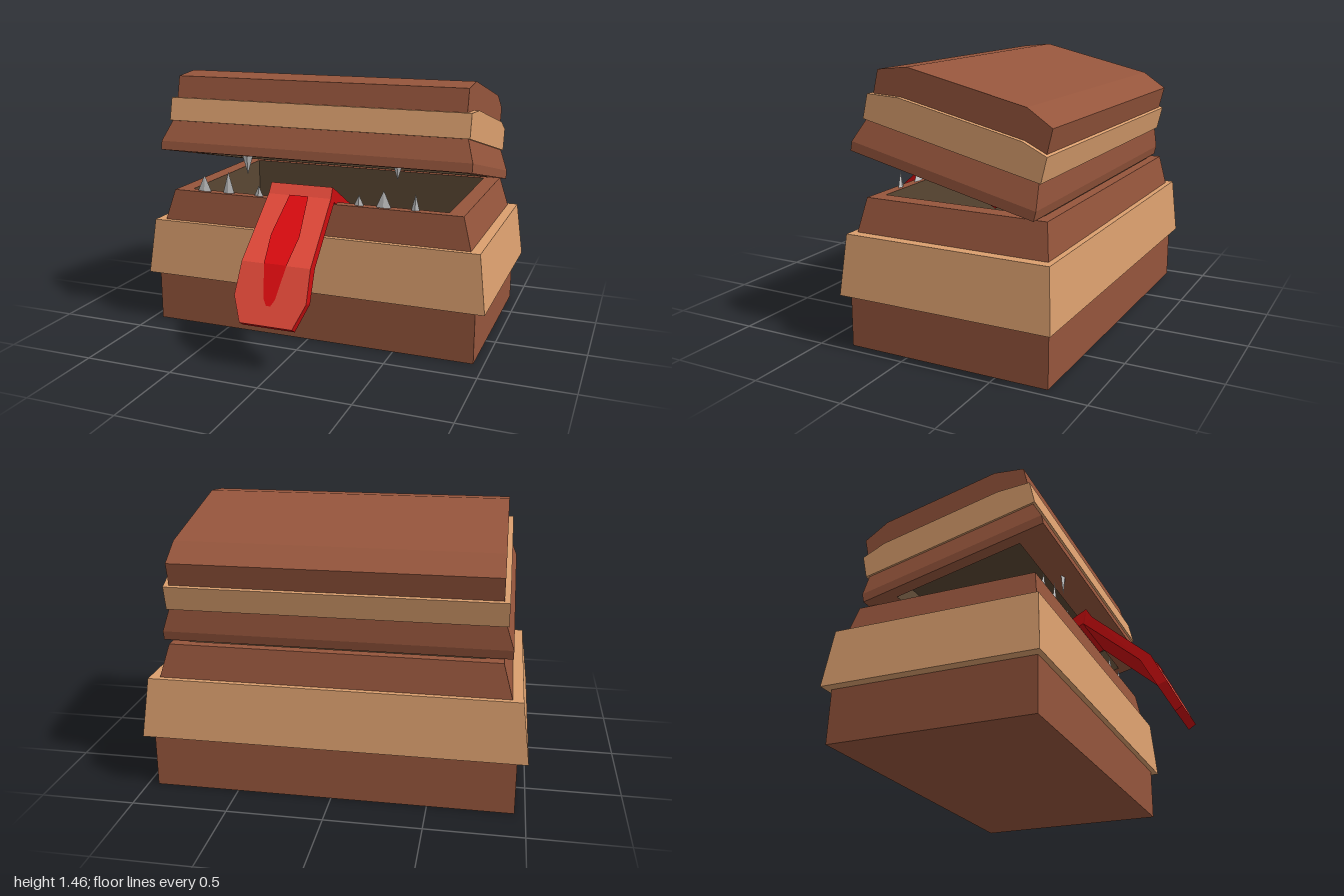
import * as THREE from 'three';

const mat = (color, side = THREE.FrontSide) =>
  new THREE.MeshStandardMaterial({ color, flatShading: true, side });
const brown = mat(0x95553c), tan = mat(0xdb9f6e), dark = mat(0x594733);
const grey = mat(0xcccccc), red = mat(0xcc0d0f), lightRed = mat(0xe54a3a), stripeRed = mat(0xe00c10, THREE.DoubleSide);

function add(parent, name, geometry, material) {
  const mesh = new THREE.Mesh(geometry, material);
  mesh.name = name;
  parent.add(mesh);
  return mesh;
}

// Flat quads between successive rows of points, plus optional single quads
function grid(rows, caps = []) {
  const pos = [];
  const quad = (a, b, c, d) => pos.push(...a, ...b, ...c, ...a, ...c, ...d);
  for (let i = 0; i < rows.length - 1; i++)
    for (let j = 0; j < rows[i].length - 1; j++)
      quad(rows[i][j], rows[i][j + 1], rows[i + 1][j + 1], rows[i + 1][j]);
  caps.forEach((c) => quad(...c));
  const g = new THREE.BufferGeometry();
  g.setAttribute('position', new THREE.Float32BufferAttribute(pos, 3));
  g.computeVertexNormals();
  return g;
}

// Rectangular loft; each level is [y, half width, front z, back z]
function loft(levels, { start = false, end = false } = {}) {
  const rows = levels.map(([y, w, f, b]) =>
    [[-w, y, f], [w, y, f], [w, y, b], [-w, y, b], [-w, y, f]]);
  const caps = [];
  if (start) caps.push(rows[0].slice(0, 4).reverse());
  if (end) caps.push(rows[rows.length - 1].slice(0, 4));
  return grid(rows, caps);
}

// Side profile in (z, y) extruded across the width
function across(profile, halfWidth) {
  const shape = new THREE.Shape(profile.map(([z, y]) => new THREE.Vector2(z, y)));
  const g = new THREE.ExtrudeGeometry(shape, { depth: halfWidth * 2, bevelEnabled: false });
  return g.rotateY(-Math.PI / 2).translate(halfWidth, 0, 0);
}

function makeBase() {
  const base = new THREE.Group();
  base.name = 'base';
  const foot = [0.29, 0.945, 0.335, -0.78], neck = [0.61, 0.905, 0.31, -0.755];
  const mouth = [0.785, 0.765, 0.225, -0.67];
  add(base, 'lowerBox', loft([[0, ...foot.slice(1)], foot], { start: true }), brown);
  add(base, 'baseBand', loft([foot, [0.29, 1, 0.365, -0.81], [0.61, 0.96, 0.34, -0.785], neck]), tan);
  add(base, 'upperRim', loft([neck, [0.785, 0.855, 0.28, -0.725], mouth]), brown);
  add(base, 'baseInterior', loft([mouth, [0.1, ...mouth.slice(1)]], { end: true }), dark);
  return base;
}

// Lid is built level with its back lower edge at the origin, then tipped open
function makeLid() {
  const lid = new THREE.Group();
  lid.name = 'lid';
  const opening = [0.825, 0.88, 0.16];
  add(lid, 'lidInterior', loft([[0.165, ...opening], [0, ...opening]], { start: true }), dark);
  add(lid, 'lidRim', loft([[0, ...opening], [0, 0.9, 1.043, 0], [0.05, 0.9, 1.045, 0],
    [0.175, 0.858, 1.008, 0.034]]), brown);
  add(lid, 'lidBand', across([[0.02, 0.172], [1.022, 0.172], [1.022, 0.303],
    [0.844, 0.334], [0.156, 0.334], [0.02, 0.303]], 0.87), tan);
  add(lid, 'lidTop', across([[0.035, 0.28], [1.004, 0.28], [1.004, 0.43],
    [0.844, 0.486], [0.182, 0.486], [0.035, 0.43]], 0.842), brown);
  lid.position.set(0, 0.79, -0.675);
  lid.rotation.x = -0.232;
  return lid;
}

function makeTongue() {
  const tongue = new THREE.Group();
  tongue.name = 'tongue';
  // top z, top y, underside z, underside y, half width
  const sections = [
    [-0.1, 0.665, -0.08, 0.6, 0.17], [0.32, 0.89, 0.3, 0.803, 0.18], [0.354, 0.834, 0.31, 0.795, 0.183],
    [0.677, 0.541, 0.616, 0.524, 0.195], [0.757, 0.377, 0.705, 0.36, 0.203], [0.817, 0.253, 0.777, 0.227, 0.148],
  ];
  const top = sections.map(([z, y, , , w]) => [[w, y, z], [-w, y, z]]);
  const under = sections.map(([z, y, bz, by, w]) => [[-w, y, z], [-w, by, bz], [w, by, bz], [w, y, z]]);
  const tip = under[under.length - 1];
  add(tongue, 'tongueBody', grid(under, [[...under[0]].reverse(), tip]), red);
  add(tongue, 'tongueTop', grid(top), lightRed);
  // Centre stripe: z, y, half width
  const stripe = [[0.356, 0.834, 0.055], [0.546, 0.66, 0.082], [0.677, 0.541, 0.064],
    [0.757, 0.377, 0.032], [0.772, 0.345, 0.012]];
  add(tongue, 'tongueStripe', grid(stripe.map(([z, y, w]) =>
    [[w, y + 0.004, z + 0.005], [-w, y + 0.004, z + 0.005]])), stripeRed);
  tongue.position.x = -0.037;
  return tongue;
}

function makeTeeth() {
  const teeth = new THREE.Group();
  teeth.name = 'teeth';
  // x, root y, tip y, width
  const list = [
    [-0.675, 0.78, 0.88, 0.09], [-0.52, 0.78, 0.91, 0.075], [-0.33, 0.78, 0.845, 0.06],
    [0.27, 0.78, 0.845, 0.06], [0.41, 0.78, 0.88, 0.09], [0.587, 0.78, 0.875, 0.05],
    [-0.395, 1.01, 0.905, 0.062], [0.485, 1.01, 0.945, 0.042],
  ];
  for (const [x, root, tip, width] of list) {
    const h = Math.abs(tip - root);
    const tooth = add(teeth, root < tip ? 'lowerTooth' : 'upperTooth', new THREE.ConeGeometry(width / 2, h, 4), grey);
    tooth.position.set(x, (root + tip) / 2, 0.252);
    tooth.scale.z = 0.02 / width;
    if (tip < root) tooth.rotation.z = Math.PI;
  }
  return teeth;
}

export function createModel() {
  const model = new THREE.Group();
  model.name = 'toothedChest';
  model.add(makeBase(), makeLid(), makeTongue(), makeTeeth());
  return model;
}
